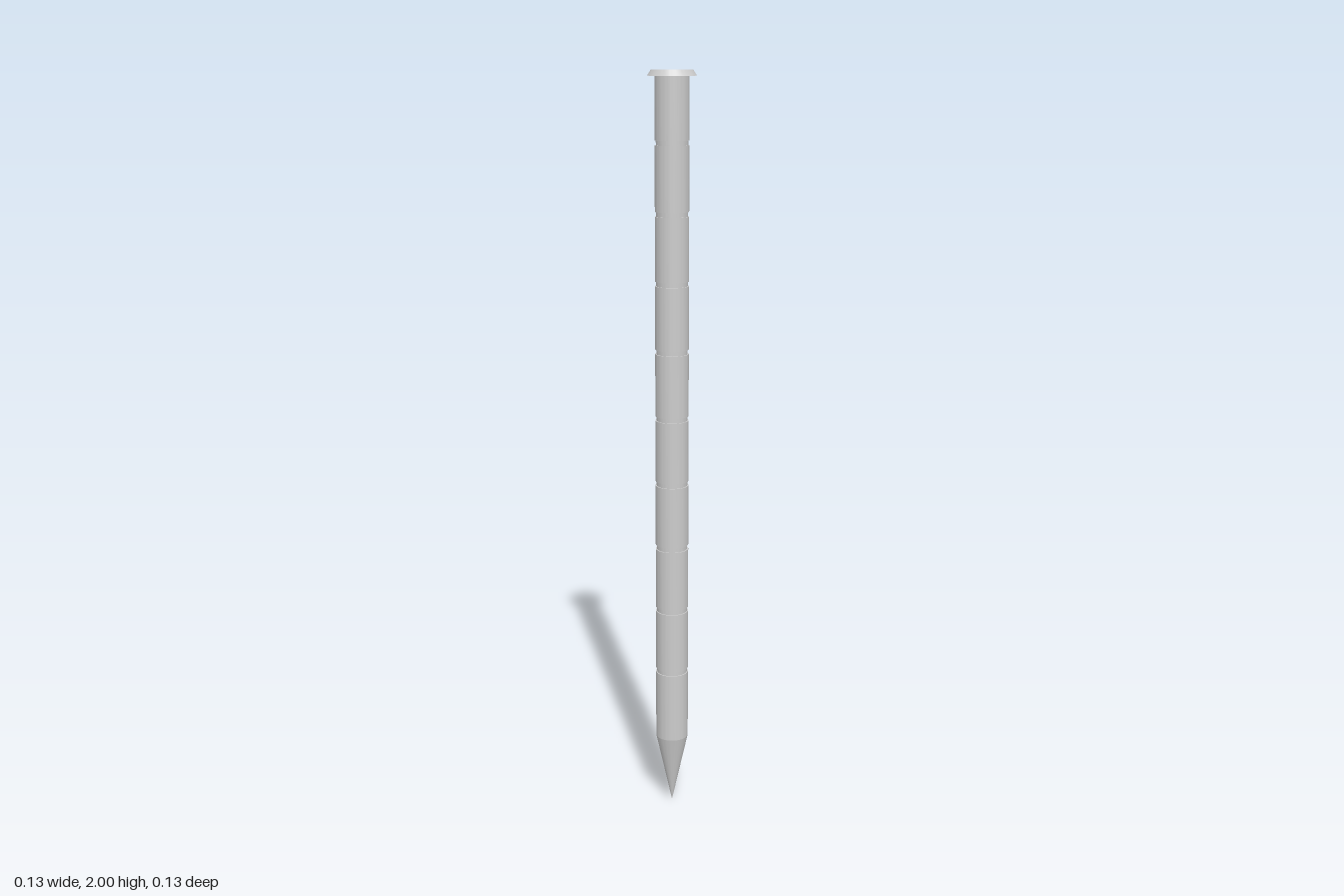
import * as THREE from 'three';
import { toCreasedNormals } from 'three/addons/utils/BufferGeometryUtils.js';

const R = 0.044;          // shaft radius
const GROOVE_R = 0.041;   // radius at the bottom of a groove
const GROOVE_H = 0.012;
const SHOULDER = 0.2;     // where the point begins
const TOP = 2;

export function createModel() {
  const model = new THREE.Group();
  const material = new THREE.MeshStandardMaterial({ color: 0xcccccc, side: THREE.DoubleSide });

  // Revolved thin shell with crisp profile corners
  const revolve = (name, profile) => {
    const points = profile.map(([r, y]) => new THREE.Vector2(r, y));
    const geometry = toCreasedNormals(new THREE.LatheGeometry(points, 48), 0.2);
    const mesh = new THREE.Mesh(geometry, material);
    mesh.name = name;
    model.add(mesh);
  };

  // Pointed end
  revolve('tip', [[0, 0], [R, SHOULDER]]);

  // Hollow shaft with evenly spaced ring grooves
  const shaft = [[R, SHOULDER]];
  for (let i = 0; i < 9; i++) {
    const y = 0.397 + i * 0.178;
    const low = y - GROOVE_H / 2, high = y + GROOVE_H / 2;
    shaft.push([R, low], [GROOVE_R, low], [GROOVE_R, high], [R, high]);
  }
  shaft.push([R, TOP]);
  revolve('groovedShaft', shaft);

  // Flared collar around the open mouth, hollow underneath
  revolve('collar', [[0.063, 1.985], [0.053, TOP], [R, TOP]]);

  return model;
}
